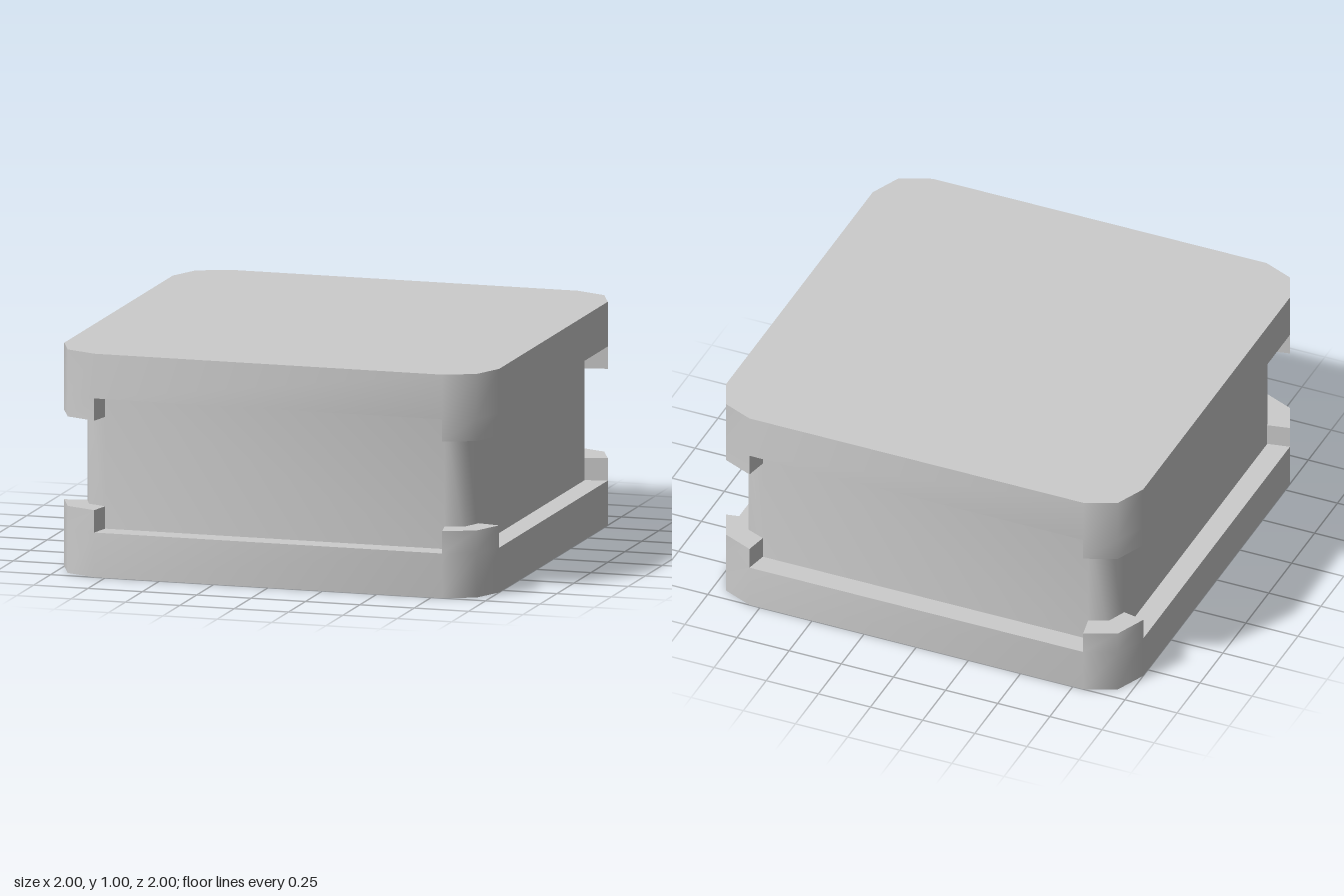
import * as THREE from 'three';
import { toCreasedNormals } from 'three/addons/utils/BufferGeometryUtils.js';

const CREASE = THREE.MathUtils.degToRad(50);
const material = new THREE.MeshStandardMaterial({ color: 0xcccccc });

// Square outline with two-facet corners: one corner turned four times, as [x, z]
function ring(half, start, mid) {
  const points = [];
  let corner = [[start, half], [mid, mid], [half, start]];
  for (let k = 0; k < 4; k++) {
    points.push(...corner);
    corner = corner.map(([x, z]) => [z, -x]);
  }
  return points;
}

const OUTER = ring(1, 0.8, 0.94);
const INNER = ring(0.9, 0.78, 0.865);

// Slab with a raised tab at every corner and an open ledge along every side
function cornerTray(ledge, tab) {
  const pos = [];
  const tri = (...pts) => pts.forEach(([p, y]) => pos.push(p[0], y, p[1]));
  const quad = (a, b, c, d) => { tri(a, b, c); tri(a, c, d); };
  const n = OUTER.length;
  for (let i = 0; i < n; i++) {
    const j = (i + 1) % n;
    const a = OUTER[i], b = OUTER[j], ia = INNER[i], ib = INNER[j];
    const isCorner = i % 3 < 2;
    const top = isCorner ? tab : ledge;
    tri([b, 0], [a, 0], [[0, 0], 0]);
    quad([a, 0], [b, 0], [b, ledge], [a, ledge]);
    quad([a, top], [b, top], [ib, top], [ia, top]);
    if (isCorner) {
      quad([a, ledge], [b, ledge], [b, tab], [a, tab]);
    } else {
      // End faces of the tabs on both sides of the ledge
      quad([a, ledge], [ia, ledge], [ia, tab], [a, tab]);
      quad([ib, ledge], [b, ledge], [b, tab], [ib, tab]);
    }
  }
  const geo = new THREE.BufferGeometry();
  geo.setAttribute('position', new THREE.Float32BufferAttribute(pos, 3));
  return toCreasedNormals(geo, CREASE);
}

export function createModel() {
  const group = new THREE.Group();
  group.name = 'cornerBlock';

  // Base and identical lid, turned over
  const trayGeo = cornerTray(0.2, 0.3);
  const base = new THREE.Mesh(trayGeo, material);
  base.name = 'base';
  const lid = new THREE.Mesh(trayGeo, material);
  lid.name = 'lid';
  lid.rotation.x = Math.PI;
  lid.position.y = 1;

  // Inset core between them
  const outline = new THREE.Shape(INNER.map(([x, z]) => new THREE.Vector2(x, z)));
  const coreGeo = new THREE.ExtrudeGeometry(outline, { depth: 0.6, bevelEnabled: false });
  coreGeo.rotateX(-Math.PI / 2);
  const core = new THREE.Mesh(toCreasedNormals(coreGeo, CREASE), material);
  core.name = 'core';
  core.position.y = 0.2;

  group.add(base, core, lid);
  return group;
}
